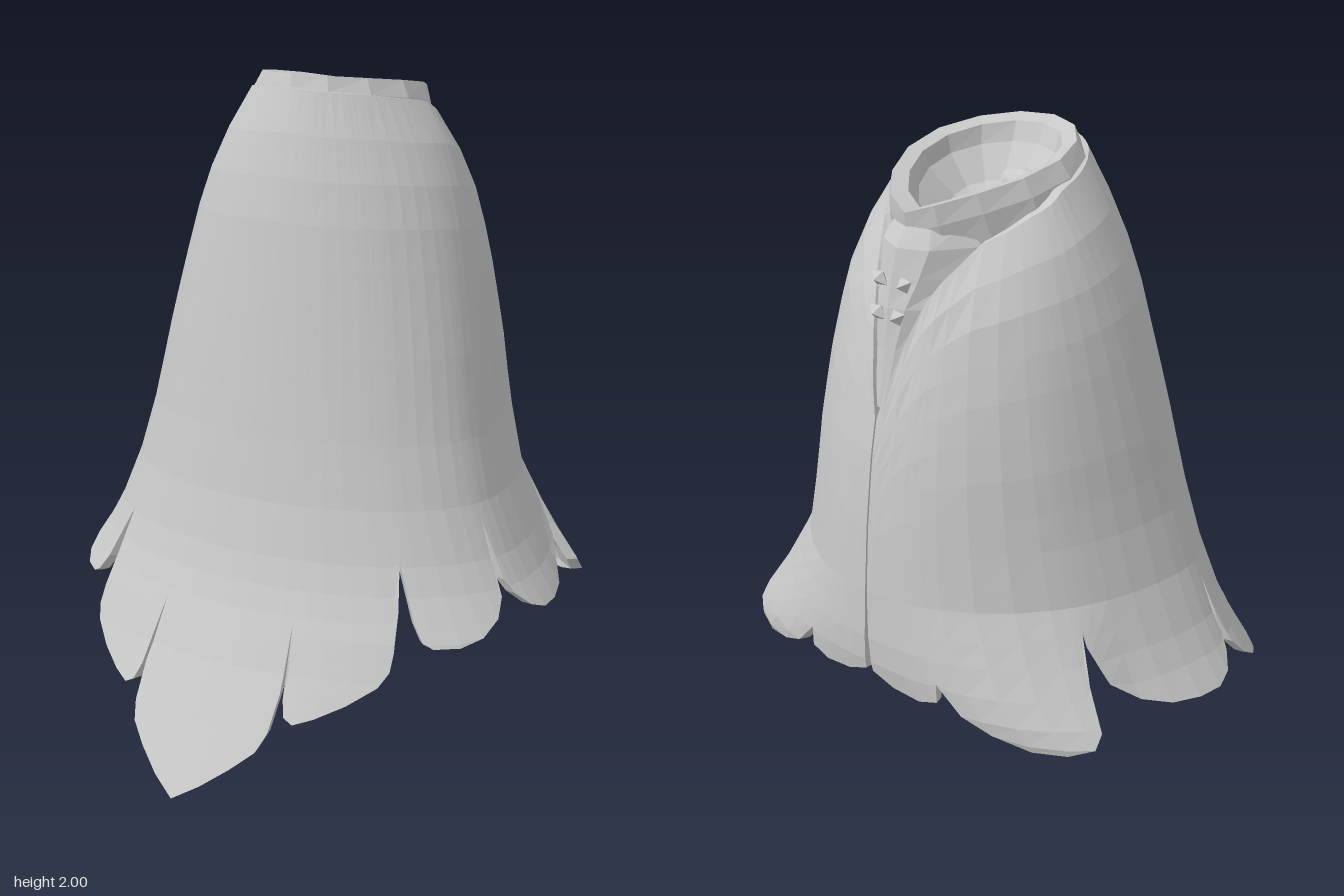
import * as THREE from 'three';

const cloth = new THREE.MeshStandardMaterial({ color: 0xc8c8c8, flatShading: true, side: THREE.DoubleSide });
cloth.name = 'paleGrey';

// height, half width, front z, back z, centre z of the cloak's cross-sections
const PROFILE = [
  [0, 0.9, 0.73, -0.6, -0.05], [0.2, 0.87, 0.605, -0.62, -0.05], [0.35, 0.84, 0.515, -0.65, -0.05],
  [0.45, 0.8, 0.465, -0.695, -0.05], [0.5, 0.765, 0.44, -0.715, -0.05], [0.57, 0.715, 0.41, -0.727, -0.05],
  [0.65, 0.67, 0.383, -0.73, -0.05], [0.8, 0.605, 0.345, -0.725, -0.05], [1, 0.55, 0.31, -0.71, -0.07],
  [1.2, 0.515, 0.28, -0.685, -0.1], [1.4, 0.473, 0.25, -0.645, -0.13], [1.6, 0.425, 0.22, -0.585, -0.16],
  [1.7, 0.39, 0.2, -0.53, -0.175], [1.8, 0.345, 0.175, -0.455, -0.19],
  [1.9, 0.28, 0.145, -0.36, -0.2], [1.97, 0.235, 0.115, -0.3, -0.2],
];
// angle from the front in degrees, hem height: one line per petal
const HEM = [
  [0, 0], [5, 0.045], [10, 0.1], [14, 0.15], [15.5, 0.2], [16.2, 0.3], [16.5, 0.48],
  [17, 0.29], [18, 0.245], [20, 0.23], [24, 0.25], [30, 0.29], [36, 0.34], [38.5, 0.38], [39.5, 0.43], [42, 0.53], [45, 0.66],
  [45.5, 0.5], [46.5, 0.455], [49, 0.44], [56, 0.44], [63, 0.46], [70, 0.5], [75, 0.55], [77, 0.63], [78.5, 0.76],
  [79, 0.59], [81, 0.55], [86, 0.51], [92, 0.49], [99, 0.49], [107, 0.5], [114, 0.53], [118.5, 0.59], [121, 0.68], [122, 0.75],
  [123, 0.6], [124.5, 0.49], [129, 0.45], [138, 0.43], [148, 0.43], [157, 0.46], [162, 0.5], [164.5, 0.58],
  [167, 0.52], [172, 0.5], [177, 0.51], [179.7, 0.54],
];
// angle, height of the neckline, which drops into a V at the back
const NECK = [[0, 1.965], [50, 1.945], [90, 1.91], [125, 1.855], [150, 1.79], [162, 1.7], [169, 1.62], [177, 1.4], [180, 1.3]];
// Heights shared by all columns below the middle
const LEVELS = [0, 0.1, 0.2, 0.28, 0.35, 0.4, 0.45, 0.5, 0.57, 0.65, 0.72, 0.8];

const { lerp, clamp, smoothstep } = THREE.MathUtils;

// Linear lookup in a table sorted by its first column
function sample(table, v) {
  let i = 0;
  while (i < table.length - 2 && v > table[i + 1][0]) i++;
  const a = table[i], b = table[i + 1];
  const t = clamp((v - a[0]) / (b[0] - a[0]), 0, 1);
  return a.map((n, k) => lerp(n, b[k], t));
}

// Skin a list of equally long point columns
function loft(columns, wrap = false, capEnds = false) {
  const n = columns[0].length, index = [];
  for (let i = 0; i < columns.length - 1; i++) {
    for (let j = 0; j < (wrap ? n : n - 1); j++) {
      const k = (j + 1) % n, a = i * n, b = a + n;
      index.push(a + j, b + j, b + k, a + j, b + k, a + k);
    }
  }
  if (capEnds) {
    for (let j = 0; j < n / 2 - 1; j++) {
      const p = j, q = j + 1, r = n - 2 - j, s = n - 1 - j, e = (columns.length - 1) * n;
      index.push(p, q, r, p, r, s, e + p, e + r, e + q, e + p, e + s, e + r);
    }
  }
  const g = new THREE.BufferGeometry();
  g.setAttribute('position', new THREE.Float32BufferAttribute(columns.flat(2), 3));
  g.setIndex(index);
  g.computeVertexNormals();
  return g;
}

// Point on the cloak; the back petals square off toward the hem
function cloakPoint(deg, y, inset) {
  const [, a, front, back, zc] = sample(PROFILE, y);
  const s = Math.sin(deg * Math.PI / 180), c = Math.cos(deg * Math.PI / 180);
  const p = 1 - 0.32 * smoothstep(Math.abs(deg), 112, 124) * (1 - clamp((y - 0.45) / 0.35, 0, 1));
  const x = (a - inset) * Math.sign(s) * Math.abs(s) ** p;
  const reach = (c > 0 ? front - zc : zc - back) - inset;
  return [x, y, zc + reach * Math.sign(c) * Math.abs(c) ** p];
}

// Closed shell: outside up, inside down, for each angle
function cloakGeometry() {
  const half = HEM.slice(1);
  const stations = [...half.map(([d, y]) => [-d, y]).reverse(), ...HEM];
  const columns = stations.map(([deg, hem]) => {
    const top = sample(NECK, Math.abs(deg))[1];
    const ys = LEVELS.map(y => Math.max(y, hem));
    for (let j = 0; j <= 9; j++) ys.push(lerp(0.86, top, j / 9));
    const outer = ys.map(y => cloakPoint(deg, y, 0));
    const inner = ys.map(y => cloakPoint(deg, y, 0.032)).reverse();
    return [...outer, ...inner];
  });
  return loft(columns, true, true);
}

// Egg-shaped collar rolling over into a shallow dish
function collarGeometry() {
  // half width, front z, back z, front y, back y
  const rings = [
    [0.275, 0.11, -0.5, 1.88, 1.72], [0.258, 0.105, -0.525, 1.955, 1.81], [0.23, 0.09, -0.53, 2, 1.87],
    [0.19, 0.045, -0.47, 1.985, 1.87], [0.18, 0.02, -0.43, 1.93, 1.83],
    [0.11, -0.06, -0.33, 1.84, 1.78], [0.002, -0.198, -0.202, 1.77, 1.77],
  ];
  const columns = [];
  for (let i = 0; i <= 14; i++) {
    const t = i / 14 * Math.PI * 2, s = Math.sin(t), c = Math.cos(t);
    const forward = clamp((1 + c) / 2, 0, 1);
    columns.push(rings.map(([w, f, b, yf, yb]) => [
      w * s * (1 - 0.22 * Math.max(0, -c)),
      lerp(yb, yf, Math.sqrt(forward)),
      lerp(b, f, forward),
    ]));
  }
  return loft(columns);
}

// Gathered lining that fills the V at the back
function liningGeometry() {
  // height, z, half width, depth of the curve
  const rows = [
    [1.84, -0.52, 0.13, 0.1], [1.78, -0.565, 0.17, 0.155], [1.7, -0.585, 0.14, 0.12],
    [1.62, -0.605, 0.1, 0.065], [1.5, -0.62, 0.06, 0.03], [1.34, -0.647, 0.03, 0.01],
  ];
  const columns = [1, 0.5, 0, -0.5, -1].map(u =>
    rows.map(([y, z, w, d]) => [u * w, y, z + d * u * u]).reverse());
  return loft(columns);
}

export function createModel() {
  const model = new THREE.Group();
  model.name = 'petalCloak';
  const add = (name, geometry) => {
    const mesh = new THREE.Mesh(geometry, cloth);
    mesh.name = name;
    model.add(mesh);
    return mesh;
  };
  add('cloak', cloakGeometry());
  add('collar', collarGeometry());
  add('backLining', liningGeometry());

  // Small fold inside the front of the collar
  const fold = add('collarFold', new THREE.SphereGeometry(0.08, 8, 5));
  fold.scale.set(1, 0.25, 0.5);
  fold.position.set(0, 1.845, -0.06);
  fold.rotation.x = -0.7;

  // Small knots of the back fastening
  const knot = new THREE.OctahedronGeometry(0.03);
  for (const side of [-1, 1]) {
    for (const [x, y, z] of [[0.045, 1.69, -0.585], [0.035, 1.6, -0.605]]) {
      const mesh = add('fasteningKnot', knot);
      mesh.position.set(side * x, y, z);
      mesh.rotation.z = side * 0.5;
      mesh.scale.set(1.1, 0.8, 0.8);
    }
  }
  return model;
}
